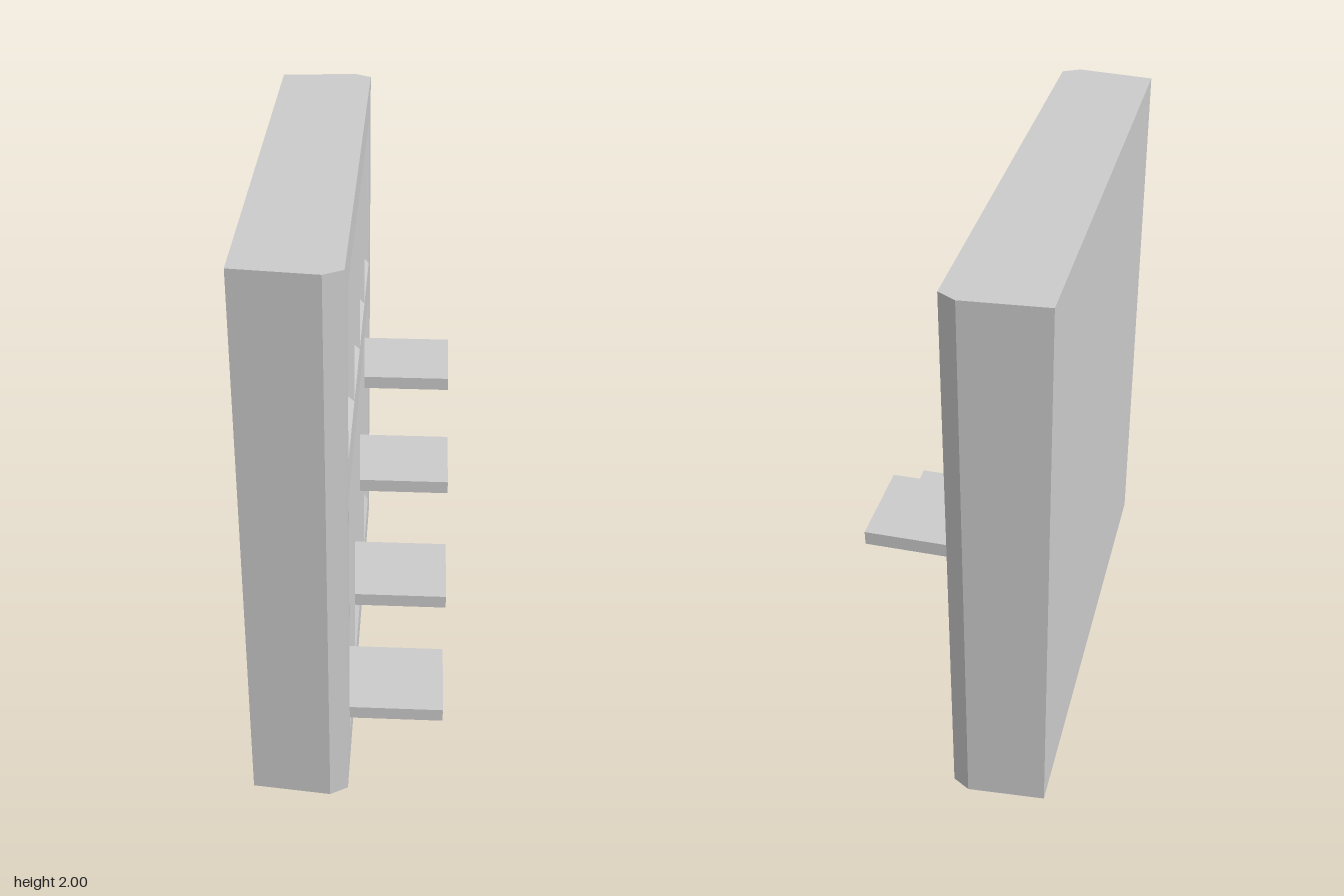
import * as THREE from 'three';

const material = new THREE.MeshStandardMaterial({ color: 0xcccccc, flatShading: true });

// Turns convex polygons into a flat-faced mesh
function polygonMesh(name, polygons) {
  const positions = [];
  for (const p of polygons)
    for (let i = 1; i < p.length - 1; i++) positions.push(...p[0], ...p[i], ...p[i + 1]);
  const geometry = new THREE.BufferGeometry();
  geometry.setAttribute('position', new THREE.Float32BufferAttribute(positions, 3));
  geometry.computeVertexNormals();
  const mesh = new THREE.Mesh(geometry, material);
  mesh.name = name;
  return mesh;
}

// Rectangle facing +x at depth x
const rect = (x, y0, y1, z0, z1) => [[x, y0, z0], [x, y1, z0], [x, y1, z1], [x, y0, z1]];

// Quads joining two matching rectangles
const band = (a, b) => a.map((p, i) => {
  const j = (i + 1) % a.length;
  return [p, a[j], b[j], b[i]];
});

const HALF = 0.71;            // half width of each row of panels
const BAY = HALF / 2;         // panel spacing
const BEVEL = 0.02;           // depth of the panel bevel
const ROWS = [
  { name: 'lowerPanel', y0: 0.14, y1: 1.14, insetY: 0.048, recess: 0.05 },
  { name: 'upperPanel', y0: 1.29, y1: 1.88, insetY: 0.028, recess: 0 },
];

// Thick slab with tapered sides and chamfered front edges
function slab() {
  const plan = [[-0.33, -0.85], [-0.33, 0.845], [-0.06, 0.872], [0, 0.838], [0, -0.838], [-0.06, -0.872]];
  const at = (y) => plan.map(([x, z]) => [x, y, z]);
  const bottom = at(0), top = at(2);
  const sides = band(bottom, top).filter((_, i) => i !== 3);
  return polygonMesh('wallSlab', [top, [...bottom].reverse(), ...sides]);
}

// Rails and stiles left around the panel rows
function frame() {
  const [low, high] = ROWS;
  const faces = [[0, low.y0], [low.y1, high.y0], [high.y1, 2]]
    .map(([y0, y1]) => rect(0, y0, y1, -0.838, 0.838));
  for (const { y0, y1 } of ROWS)
    faces.push(rect(0, y0, y1, HALF, 0.838), rect(0, y0, y1, -0.838, -HALF));
  return polygonMesh('frontFrame', faces);
}

// One sunken panel: bevel, straight recess walls and floor
function panel({ name, y0, y1, insetY, recess }, z0) {
  const insetZ = 0.016;
  const ring = (x, dy, dz) => rect(x, y0 + dy, y1 - dy, z0 + dz, z0 + BAY - dz);
  const rim = ring(0, 0, 0);
  const inner = ring(-BEVEL, insetY, insetZ);
  const floor = ring(-BEVEL - recess, insetY, insetZ);
  const walls = recess ? band(inner, floor) : [];
  return polygonMesh(name, [...band(rim, inner), ...walls, floor]);
}

export function createModel() {
  const model = new THREE.Group();
  model.name = 'panelledWallWithSteps';
  model.add(slab(), frame());

  for (const row of ROWS)
    for (let i = 0; i < 4; i++) model.add(panel(row, -HALF + i * BAY));

  // Steps climbing from the front bay to the rear bay: base height, z range, reach
  const steps = [
    [0.19, 0.372, 0.69, 0.325],
    [0.408, 0.02, 0.336, 0.33],
    [0.668, -0.336, -0.02, 0.33],
    [0.912, -0.69, -0.372, 0.325],
  ];
  for (const [y, z0, z1, reach] of steps) {
    const start = -BEVEL - ROWS[0].recess;
    const step = new THREE.Mesh(new THREE.BoxGeometry(reach - start, 0.05, z1 - z0), material);
    step.position.set((reach + start) / 2, y + 0.025, (z0 + z1) / 2);
    step.name = 'step';
    model.add(step);
  }
  return model;
}
